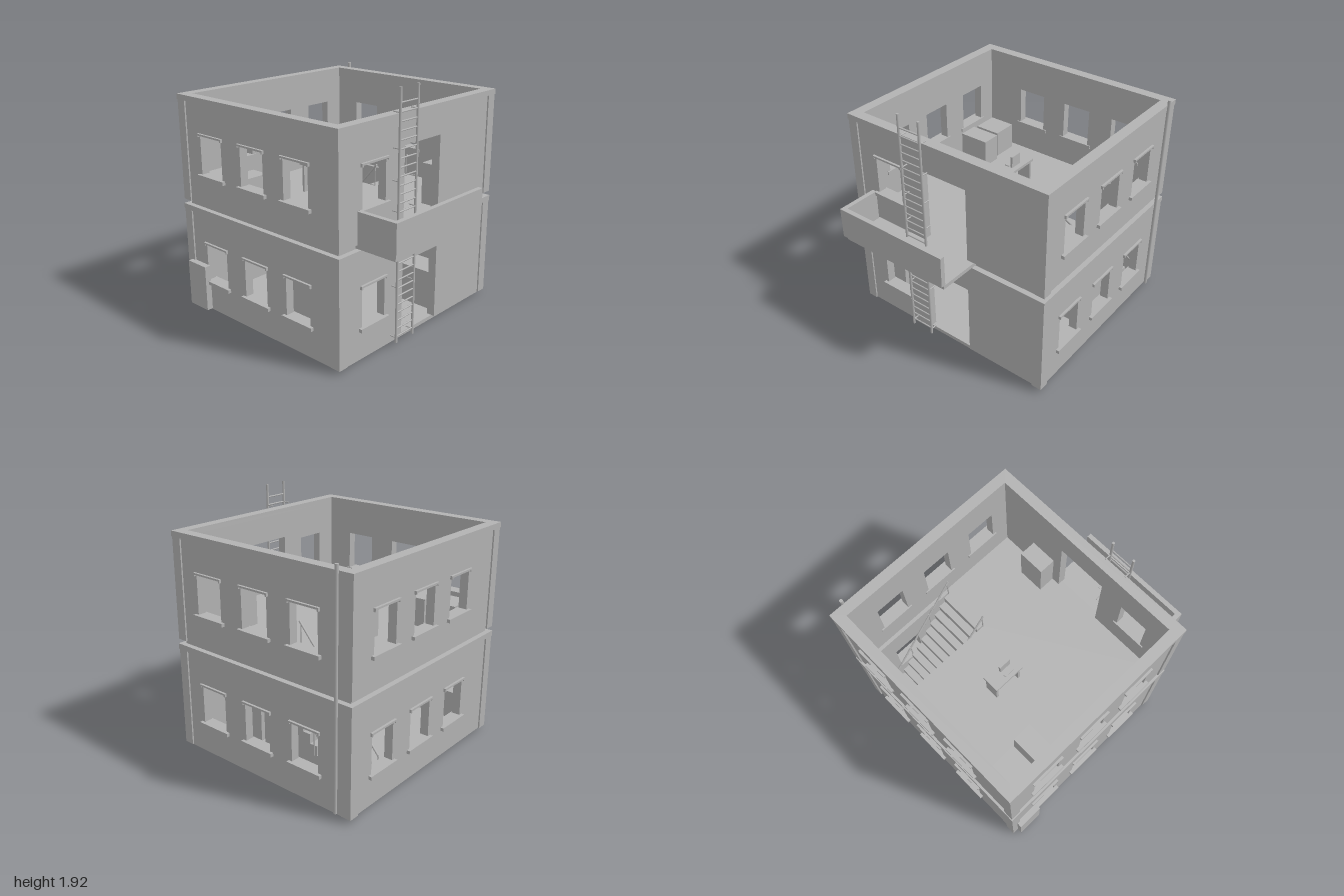
import * as THREE from 'three';

const grey = new THREE.MeshStandardMaterial({ color: 0xb2b2b2 });
grey.name = 'plaster grey';

const HX = 0.885, HZ = 0.83, T = 0.08; // half sizes of the house, wall thickness
const CX = 0.005, CZ = -0.16;          // centre of the house

function add(parent, name, geometry) {
  const mesh = new THREE.Mesh(geometry, grey);
  mesh.name = name;
  parent.add(mesh);
  return mesh;
}

// box given by its min and max on each axis
function box(parent, name, x0, x1, y0, y1, z0, z1) {
  const m = add(parent, name, new THREE.BoxGeometry(x1 - x0, y1 - y0, z1 - z0));
  m.position.set((x0 + x1) / 2, (y0 + y1) / 2, (z0 + z1) / 2);
  return m;
}

// round bar between two points
function bar(parent, name, a, b, r, sides = 8) {
  const p = new THREE.Vector3(...a), d = new THREE.Vector3(...b).sub(p);
  const m = add(parent, name, new THREE.CylinderGeometry(r, r, d.length(), sides));
  m.position.copy(p).addScaledVector(d, 0.5);
  m.quaternion.setFromUnitVectors(new THREE.Vector3(0, 1, 0), d.normalize());
  return m;
}

function rectPath(path, x0, x1, y0, y1) {
  path.moveTo(x0, y0);
  path.lineTo(x1, y0);
  path.lineTo(x1, y1);
  path.lineTo(x0, y1);
  path.closePath();
  return path;
}

// flat plate with a rectangular hole, lying between y0 and y1 (rectangles in x, -z)
function plate(parent, name, outer, hole, y0, y1) {
  const shape = rectPath(new THREE.Shape(), ...outer);
  if (hole) shape.holes.push(rectPath(new THREE.Path(), ...hole));
  const g = new THREE.ExtrudeGeometry(shape, { depth: y1 - y0, bevelEnabled: false });
  g.rotateX(-Math.PI / 2);
  const m = add(parent, name, g);
  m.position.y = y0;
  return m;
}

// one wall facing local +z, with windows and an optional door
function wall(parent, name, half, reach, angle, windows, door) {
  const g = new THREE.Group();
  g.name = name;
  g.rotation.y = angle;
  const w = half - T;
  const shape = new THREE.Shape();
  const outline = [[-w, 0], ...(door ? [[-0.205, 0], [-0.205, 0.592], [0.205, 0.592], [0.205, 0]] : []),
    [w, 0], [w, 0.79], [-w, 0.79]];
  shape.setFromPoints(outline.map(p => new THREE.Vector2(...p)));
  for (const u of windows) {
    shape.holes.push(rectPath(new THREE.Path(), u - 0.12, u + 0.12, 0.242, 0.547));
    box(g, 'windowSill', u - 0.15, u + 0.15, 0.215, 0.242, reach - 0.09, reach + 0.014);
    box(g, 'windowLintel', u - 0.138, u + 0.138, 0.547, 0.561, reach - 0.03, reach + 0.006);
    for (const s of [-1, 1])
      box(g, 'lintelEnd', u + s * 0.132 - 0.006, u + s * 0.132 + 0.006, 0.535, 0.547, reach - 0.03, reach + 0.006);
  }
  const panel = add(g, 'wallPanel',
    new THREE.ExtrudeGeometry(shape, { depth: T - 0.012, bevelEnabled: false }));
  panel.position.z = reach - T;
  parent.add(g);
}

function storey(parent, name, y) {
  const g = new THREE.Group();
  g.name = name;
  g.position.y = y;
  const H = Math.PI / 2;
  wall(g, 'frontWall', HX, HZ, 0, [-0.525], true);
  wall(g, 'backWall', HX, HZ, Math.PI, [0.365, -0.08, -0.53]);
  wall(g, 'plusXWall', HZ, HX, H, [-0.48, -0.03, 0.42]);
  wall(g, 'minusXWall', HZ, HX, -H, [-0.475, -0.023, 0.422]);
  for (const sx of [-1, 1]) for (const sz of [-1, 1]) {
    const c = box(g, 'cornerPost', -T / 2, T / 2, 0, 0.79, -T / 2, T / 2);
    c.position.x = sx * (HX - T / 2);
    c.position.z = sz * (HZ - T / 2);
  }
  const e = 0.004;
  plate(g, 'wallCap', [-HX - e, HX + e, -HZ - e, HZ + e], [-HX + T, HX - T, -HZ + T, HZ - T], 0.79, 0.833);
  parent.add(g);
}

// desk with screen and keyboard; x, z is its corner
function desk(parent, x, y, z) {
  const g = new THREE.Group();
  g.name = 'desk';
  g.position.set(x, y, z);
  box(g, 'deskTop', 0, 0.145, 0.228, 0.25, 0, 0.265);
  for (const s of [0.01, 0.235]) box(g, 'deskSide', 0.02, 0.135, 0, 0.228, s, s + 0.02);
  box(g, 'keyboard', 0.032, 0.07, 0.25, 0.258, 0.12, 0.22);
  box(g, 'screen', 0.085, 0.102, 0.25, 0.345, 0.12, 0.22);
  parent.add(g);
}

export function createModel() {
  const model = new THREE.Group();
  model.name = 'twoStoreyHouse';

  // house shell
  const house = new THREE.Group();
  house.name = 'house';
  house.position.set(CX, 0, CZ);
  model.add(house);
  const slab = [-HX + 0.038, HX - 0.038, -HZ + 0.038, HZ - 0.038];
  plate(house, 'groundSlab', slab, null, 0, 0.03);
  storey(house, 'groundStorey', 0.03);
  plate(house, 'upperFloor', slab, [0.365, 0.775, -0.06, 0.685], 0.863, 0.9);
  storey(house, 'upperStorey', 0.9);

  // balcony with a parapet on two sides
  const balcony = new THREE.Group();
  balcony.name = 'balcony';
  box(balcony, 'balconySlab', -0.68, 0.27, 0.87, 0.9, 0.63, 0.98);
  box(balcony, 'frontParapet', -0.7, 0.27, 0.903, 1.145, 0.963, 1.0);
  box(balcony, 'sideParapet', -0.7, -0.663, 0.903, 1.145, 0.67, 0.963);
  box(balcony, 'parapetFoot', -0.68, 0.27, 0.9, 0.903, 0.963, 0.98);
  model.add(balcony);

  // wall ladder
  const ladder = new THREE.Group();
  ladder.name = 'ladder';
  for (const x of [-0.325, -0.136]) {
    bar(ladder, 'ladderRail', [x, 0.04, 0.712], [x, 1.92, 0.712], 0.01, 10);
    for (const y of [0.08, 0.48, 0.8, 1.05, 1.27, 1.5, 1.75])
      bar(ladder, 'ladderBracket', [x, y, 0.712], [x, y, 0.655], 0.005);
  }
  for (let i = 0; i < 28; i++) {
    const y = 0.09 + i * 0.0639;
    bar(ladder, 'ladderRung', [-0.325, y, 0.712], [-0.136, y, 0.712], 0.006);
  }
  model.add(ladder);

  // rain pipe and outside meter box
  bar(model, 'rainPipe', [0.902, 0.045, -0.87], [0.902, 1.775, -0.87], 0.013, 12);
  box(model, 'meterBox', -0.92, -0.87, 0.03, 0.4, -0.94, -0.73);

  // staircase climbing towards the front
  const stairs = new THREE.Group();
  stairs.name = 'stairs';
  const n = 12, z0 = -0.845, run = 0.0625, rise = 0.0725;
  for (let i = 0; i < n; i++)
    box(stairs, 'step', 0.38, 0.77, 0.03, 0.03 + rise * (i + 1), z0 + run * i, z0 + run * (i + 1));
  for (const x of [0.373, 0.778]) {
    bar(stairs, 'handrail', [x, 0.225, z0 + 0.01], [x, 1.08, -0.085], 0.008);
    for (let i = 0; i < n; i += 4)
      bar(stairs, 'railPost', [x, 0.03 + rise * i, z0 + run * (i + 0.25)], [x, 0.24 + rise * i, z0 + run * (i + 0.25)], 0.005);
    bar(stairs, 'railPost', [x, 0.87, -0.1], [x, 1.07, -0.1], 0.005);
  }
  model.add(stairs);

  // furniture
  desk(model, -0.155, 0.9, -0.44);
  desk(model, 0.122, 0.03, -0.44);
  box(model, 'lowCabinet', -0.75, -0.53, 0.9, 1.12, -0.85, -0.64);
  box(model, 'chest', -0.755, -0.5, 0.9, 1.13, -0.6, -0.44);
  box(model, 'cupboard', 0.28, 0.5, 0.9, 1.225, 0.45, 0.588);
  box(model, 'sideboard', 0.28, 0.5, 0.03, 0.345, 0.215, 0.588);
  box(model, 'wardrobe', -0.79, -0.66, 0.03, 0.62, 0.12, 0.45);

  return model;
}
